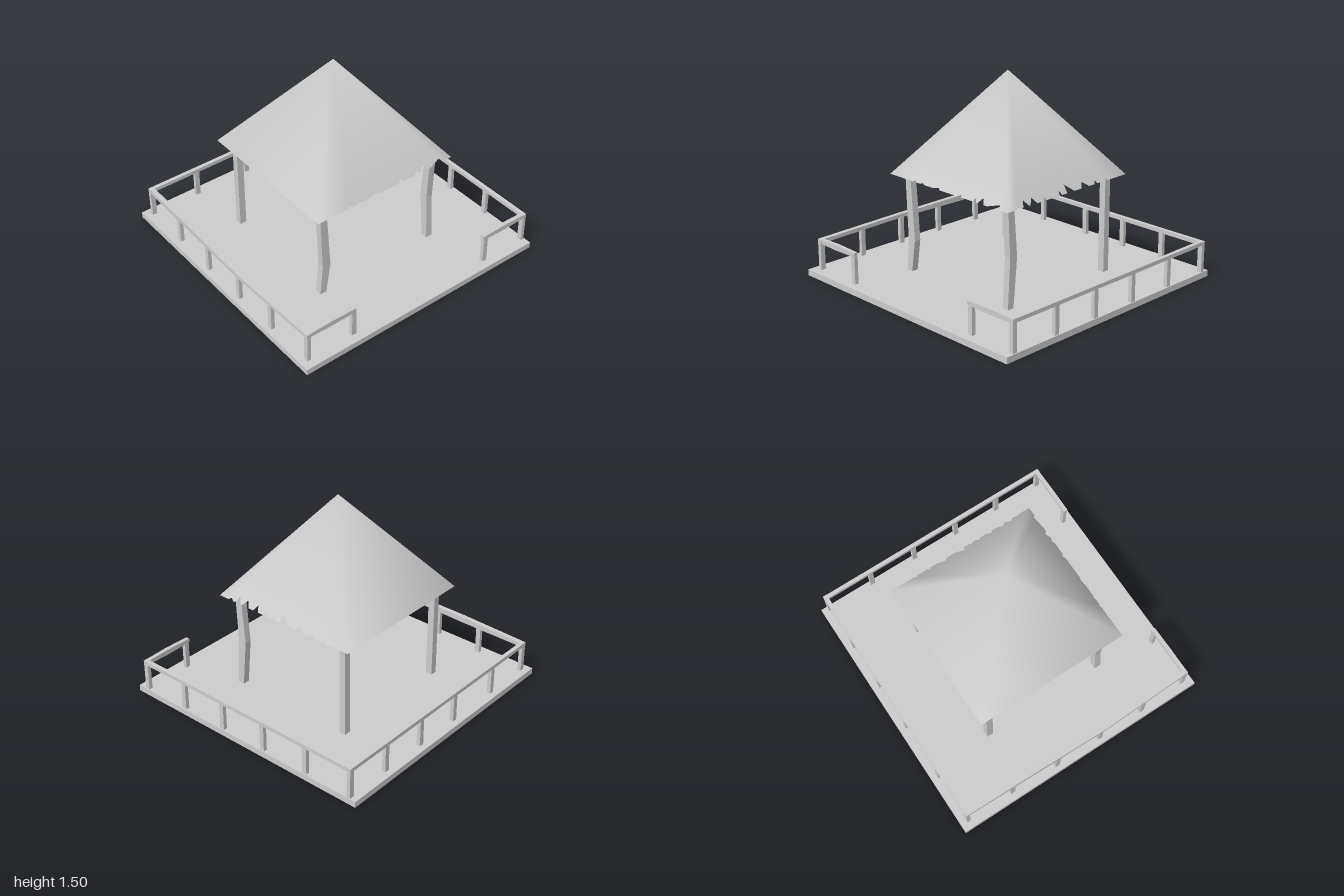
import * as THREE from 'three';

const grey = new THREE.MeshStandardMaterial({ color: 0xcccccc, side: THREE.DoubleSide });
grey.name = 'plain grey';

export function createModel() {
  const model = new THREE.Group();
  model.name = 'pavilion';

  function add(name, geometry) {
    const mesh = new THREE.Mesh(geometry, grey);
    mesh.name = name;
    model.add(mesh);
  }

  // Box between two corners; bend(v) may shift the vertices of its sections
  function beam(name, min, max, segments = [1, 1, 1], bend = null) {
    const size = max.map((m, i) => m - min[i]);
    let geo = new THREE.BoxGeometry(...size, ...segments);
    geo.translate(...max.map((m, i) => (m + min[i]) / 2));
    if (bend) {
      const p = geo.attributes.position;
      const v = new THREE.Vector3();
      for (let i = 0; i < p.count; i++) {
        bend(v.fromBufferAttribute(p, i));
        p.setXYZ(i, v.x, v.y, v.z);
      }
      geo = geo.toNonIndexed();
      geo.computeVertexNormals();
    }
    add(name, geo);
  }

  // Platform: a shallow tray turned over, open underneath
  const tray = new THREE.BoxGeometry(2, 0.045, 2).translate(0, 0.0225, 0);
  const trayIndex = Array.from(tray.index.array);
  trayIndex.splice(18, 6);
  tray.setIndex(trayIndex);
  add('platform', tray);

  // Four roof posts, the two front ones crooked
  function roofPost(name, x, z, kneeY, dx, dz) {
    const r = 0.025;
    beam(name, [x - r, 0.035, z - r], [x + r, 0.83, z + r], [1, 2, 1], (v) => {
      if (v.y > 0.1 && v.y < 0.7) {
        v.y = kneeY;
        v.x += dx * (v.x > x ? 1.25 : 0.75);
        v.z += dz * (v.z > z ? 0.75 : 1.25);
      }
    });
  }
  roofPost('frontRightPost', -0.48, 0.475, 0.28, 0.03, 0);
  roofPost('frontLeftPost', 0.48, 0.475, 0.4, 0, -0.028);
  roofPost('backRightPost', -0.48, -0.47, 0.4, 0, 0);
  roofPost('backLeftPost', 0.48, -0.47, 0.4, 0, 0);

  // Thatched roof: a fan from the apex to the eaves, torn on two sides
  const half = 0.575, eaveY = 0.757, rise = 0.738;
  // Each tear: start, peak, end, height
  const frontTears = [
    [-0.33, -0.315, -0.3, 0.01], [-0.26, -0.24, -0.22, 0.008],
    [-0.14, -0.08, -0.065, 0.01], [0.11, 0.13, 0.145, 0.027],
    [0.25, 0.27, 0.285, 0.022], [0.3, 0.33, 0.36, 0.034], [0.39, 0.49, 0.505, 0.027],
  ];
  const sideTears = [
    [-0.49, -0.47, -0.45, 0.014], [-0.43, -0.405, -0.375, 0.037], [-0.365, -0.33, -0.3, 0.036],
    [-0.26, -0.235, -0.215, 0.036], [-0.165, -0.14, -0.125, 0.026], [-0.09, -0.08, -0.065, 0.027],
    [-0.015, -0.012, 0.055, 0.05], [0.12, 0.15, 0.2, 0.034],
    [0.25, 0.27, 0.285, 0.022], [0.36, 0.37, 0.385, 0.025],
  ];
  const vertices = [0, eaveY + rise, 0];
  const normals = [0, 1, 0];
  // a runs along the eave, d is the distance of the eave from the middle
  const sides = [
    [frontTears, (a, d) => [a, d]],
    [sideTears, (a, d) => [d, -a]],
    [[], (a, d) => [-a, -d]],
    [[], (a, d) => [-d, a]],
  ];
  for (const [tears, place] of sides) {
    // Corners are shaded halfway between their two slopes
    const put = (a, h, lean) => {
      const [x, z] = place(a, half * (1 - h / rise));
      vertices.push(x, eaveY + h, z);
      const [nx, nz] = place(lean, rise);
      const n = new THREE.Vector3(nx, lean ? 2 * half : half, nz).normalize();
      normals.push(n.x, n.y, n.z);
    };
    put(-half, 0, -rise);
    for (const [start, peak, end, h] of tears) {
      put(start, 0, 0);
      put(peak, h, 0);
      put(end, 0, 0);
    }
  }
  const count = vertices.length / 3 - 1;
  const index = [];
  for (let i = 0; i < count; i++) index.push(0, i + 1, ((i + 1) % count) + 1);
  const roof = new THREE.BufferGeometry();
  roof.setAttribute('position', new THREE.Float32BufferAttribute(vertices, 3));
  roof.setAttribute('normal', new THREE.Float32BufferAttribute(normals, 3));
  roof.setIndex(index);
  add('roof', roof);

  // Hand rails, slightly warped
  const y0 = 0.245, y1 = 0.273;
  beam('backRail', [-0.95, y0, -0.955], [0.995, y1, -0.925]);
  beam('leftRail', [0.963, y0, -0.955], [0.993, y1, 0.94]);
  beam('rightRail', [-0.95, y0, -0.955], [-0.914, y1, 0.94], [1, 1, 3], (v) => {
    if (v.z > 0.2 && v.z < 0.5) {
      v.z = 0.2;
      v.x -= 0.023;
    } else if (Math.abs(v.z) < 0.5) {
      v.z = -0.4;
      v.x -= 0.01;
      v.y += v.y > 0.26 ? 0.009 : -0.006;
    }
  });
  const swell = (mid) => (v) => {
    if (Math.abs(v.x - mid) < 0.05) v.y += v.y > 0.26 ? 0.006 : -0.006;
  };
  beam('frontRightRail', [-0.95, y0, 0.908], [-0.545, y1, 0.938], [2, 1, 1], swell(-0.7475));
  beam('frontLeftRail', [0.585, y0, 0.908], [0.993, y1, 0.938], [2, 1, 1], swell(0.789));

  // Balusters, wider along the rail than across it
  const baluster = (x, z, rx, rz) =>
    beam('railPost', [x - rx, 0.04, z - rz], [x + rx, 0.25, z + rz]);
  const wide = 0.018, thin = 0.014;
  for (const x of [-0.932, -0.55, -0.11, 0.26, 0.625, 0.977]) baluster(x, -0.94, wide, thin);
  for (const z of [-0.565, -0.19, 0.18, 0.547, 0.922]) {
    baluster(0.978, z, thin, wide);
    baluster(z > -0.3 && z < 0.6 ? -0.949 : -0.935, z, thin, wide);
  }
  baluster(-0.562, 0.923, wide, thin);
  baluster(0.61, 0.923, wide, thin);

  return model;
}
